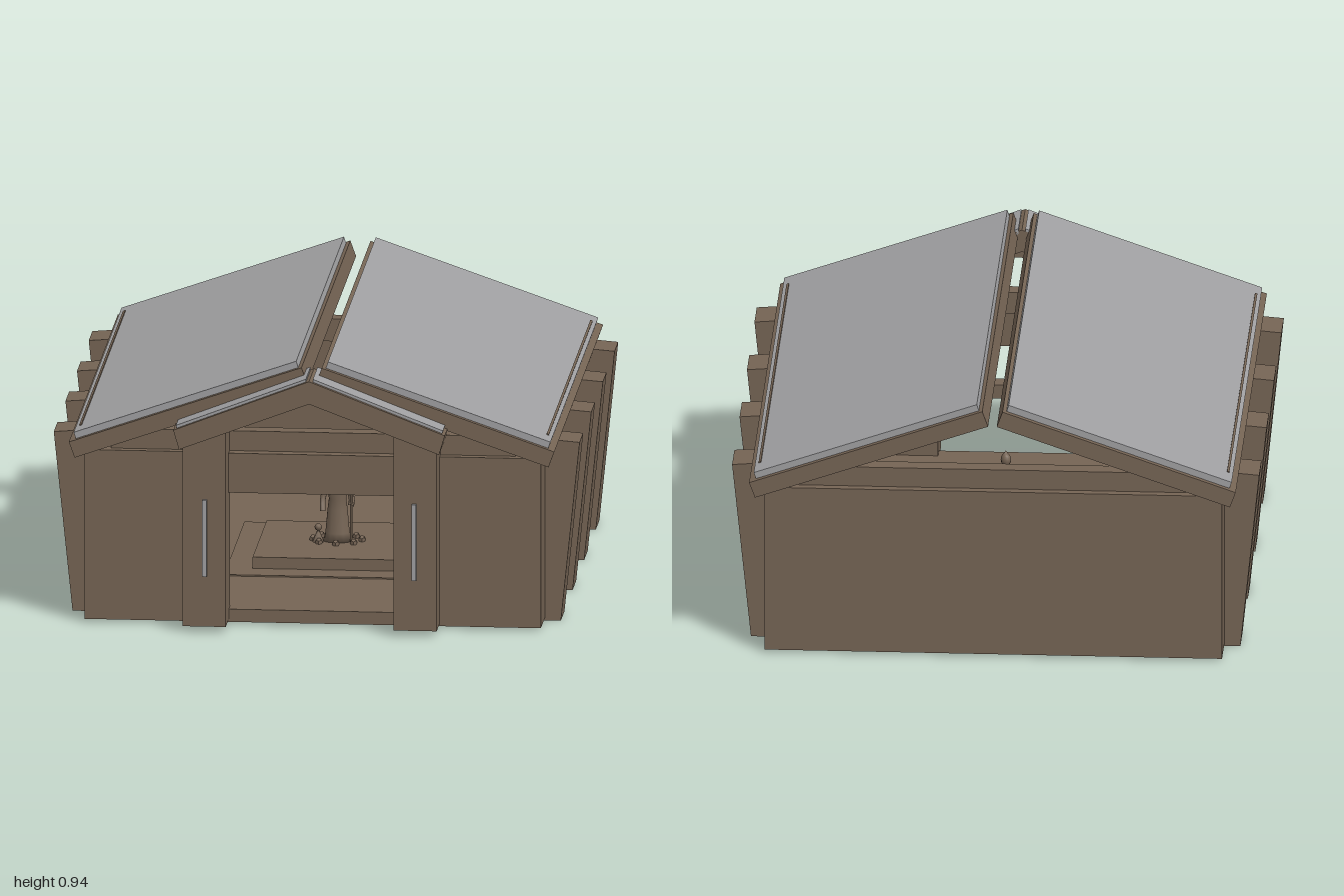
import * as THREE from 'three';

export function createModel() {
  const model = new THREE.Group();
  model.name = 'shrineHall';
  const wood = new THREE.MeshStandardMaterial({ color: 0x756454 });
  wood.name = 'brown wood';
  const slate = new THREE.MeshStandardMaterial({ color: 0xa0a0a2 });
  slate.name = 'grey roofing';

  const add = (name, geometry, material = wood, parent = model) => {
    const mesh = new THREE.Mesh(geometry, material);
    mesh.name = name;
    parent.add(mesh);
    return mesh;
  };
  // Box given by its limits on each axis
  const box = (name, x0, x1, y0, y1, z0, z1, material) => {
    const g = new THREE.BoxGeometry(Math.abs(x1 - x0), y1 - y0, z1 - z0);
    return add(name, g.translate((x0 + x1) / 2, (y0 + y1) / 2, (z0 + z1) / 2), material);
  };
  // Front profile extruded from z0 to z1, mirrored when side is -1
  const prism = (name, side, points, z0, z1, material) => {
    const shape = new THREE.Shape(points.map(([x, y]) => new THREE.Vector2(x * side, y)));
    const g = new THREE.ExtrudeGeometry(shape, { depth: z1 - z0, bevelEnabled: false });
    return add(name, g.translate(0, 0, z0), material);
  };

  // Floor, back wall and the beams under the open gables
  box('floor', -0.79, 0.79, 0.01, 0.055, -0.95, 0.86);
  box('backWall', -0.79, 0.79, 0.055, 0.61, -0.95, -0.9);
  box('backTieBeam', -0.7, 0.7, 0.6, 0.68, -0.92, -0.86);
  box('frontTieBeam', -0.7, 0.7, 0.6, 0.68, 0.77, 0.83);
  box('doorLintel', -0.29, 0.29, 0.47, 0.61, 0.8, 0.87);

  for (const s of [1, -1]) {
    // Walls
    box('sideWall', s * 0.74, s * 0.79, 0.055, 0.61, -0.9, 0.81);
    box('frontWall', s * 0.29, s * 0.79, 0.055, 0.61, 0.81, 0.86);
    box('wallPlate', s * 0.65, s * 0.72, 0.6, 0.64, -0.86, 0.77);

    // Leaning buttresses, wider at the top
    for (const z of [0.63, 0.175, -0.275, -0.73]) {
      prism('buttress', s, [[0.77, 0], [0.845, 0], [0.91, 0.633], [0.8, 0.642], [0.77, 0.6]], z - 0.07, z + 0.07);
    }

    // Main roof: timber frame, raised panel and eave strip
    prism('roofFrame', s, [[0.035, 0.925], [0.84, 0.645], [0.82, 0.59], [0.015, 0.87]], -1, 0.9);
    prism('roofPanel', s, [[0.055, 0.943], [0.825, 0.675], [0.815, 0.645], [0.045, 0.912]], -0.98, 0.88, slate);
    prism('eaveStrip', s, [[0.805, 0.686], [0.813, 0.683], [0.811, 0.675], [0.803, 0.678]], -0.9, 0.8);

    // Porch: pillar, light strip, gable beam and roof panel
    prism('porchPillar', s, [[0.29, 0.02], [0.44, 0.02], [0.44, 0.69], [0.29, 0.75]], 0.82, 0.98);
    box('pillarStrip', s * 0.355, s * 0.37, 0.2, 0.47, 0.975, 0.995, slate);
    prism('porchBeam', s, [[0, 0.9], [0.47, 0.718], [0.45, 0.65], [0, 0.82]], 0.8, 1);
    prism('porchPanel', s, [[0.012, 0.905], [0.462, 0.732], [0.457, 0.715], [0.012, 0.885]], 0.8, 0.985, slate);
  }
  prism('porchCollar', 1, [[-0.08, 0.79], [0.08, 0.79], [0, 0.83]], 0.82, 0.88);

  // Spikes hanging from an inner beam
  box('innerBeam', -0.74, 0.74, 0.47, 0.52, 0.3, 0.36);
  for (const x of [-0.205, -0.08, 0.1, 0.225]) {
    const spike = add('hangingSpike', new THREE.ConeGeometry(0.012, 0.1, 6));
    spike.rotation.x = Math.PI;
    spike.position.set(x, 0.425, 0.33);
  }

  // Stepped pedestal
  box('pedestalStep', -0.35, 0.35, 0.055, 0.06, -0.42, 0.37);
  box('pedestal', -0.26, 0.26, 0.055, 0.1, -0.28, 0.27);

  // Robed statue with a staff and a small companion
  const statue = new THREE.Group();
  statue.name = 'statue';
  statue.position.set(0.01, 0.1, 0);
  model.add(statue);
  const put = (name, geometry, x, y, z) => add(name, geometry, wood, statue).position.set(x, y, z);
  const robe = [[0, 0], [0.05, 0], [0.042, 0.03], [0.035, 0.11], [0.03, 0.15], [0.04, 0.2], [0.035, 0.225], [0.012, 0.24], [0, 0.245]];
  put('robe', new THREE.LatheGeometry(robe.map(([x, y]) => new THREE.Vector2(x, y)), 12).scale(1, 1, 0.75), 0, 0, 0);
  put('head', new THREE.SphereGeometry(0.02, 10, 8).scale(0.9, 1.2, 1), 0, 0.262, 0);
  put('hat', new THREE.ConeGeometry(0.015, 0.02, 8), 0, 0.285, 0);
  for (const [s, lift] of [[1, 0.02], [-1, 0]]) {
    const arm = new THREE.CatmullRomCurve3([
      new THREE.Vector3(s * 0.032, 0.21, 0),
      new THREE.Vector3(s * 0.05, 0.15, 0.01),
      new THREE.Vector3(s * 0.048, 0.11 + lift, 0.03),
    ]);
    put('arm', new THREE.TubeGeometry(arm, 8, 0.011, 6), 0, 0, 0);
  }
  put('staff', new THREE.CylinderGeometry(0.004, 0.004, 0.18, 6), 0.05, 0.09, 0.03);
  put('companionBody', new THREE.ConeGeometry(0.02, 0.05, 8), -0.065, 0.025, 0.02);
  put('companionHead', new THREE.SphereGeometry(0.013, 8, 6), -0.065, 0.052, 0.02);
  for (let i = 0; i < 8; i++) {
    const a = i * Math.PI / 4;
    put('baseStone', new THREE.DodecahedronGeometry(0.014), Math.cos(a) * 0.085, 0.006, Math.sin(a) * 0.07);
  }

  return model;
}
